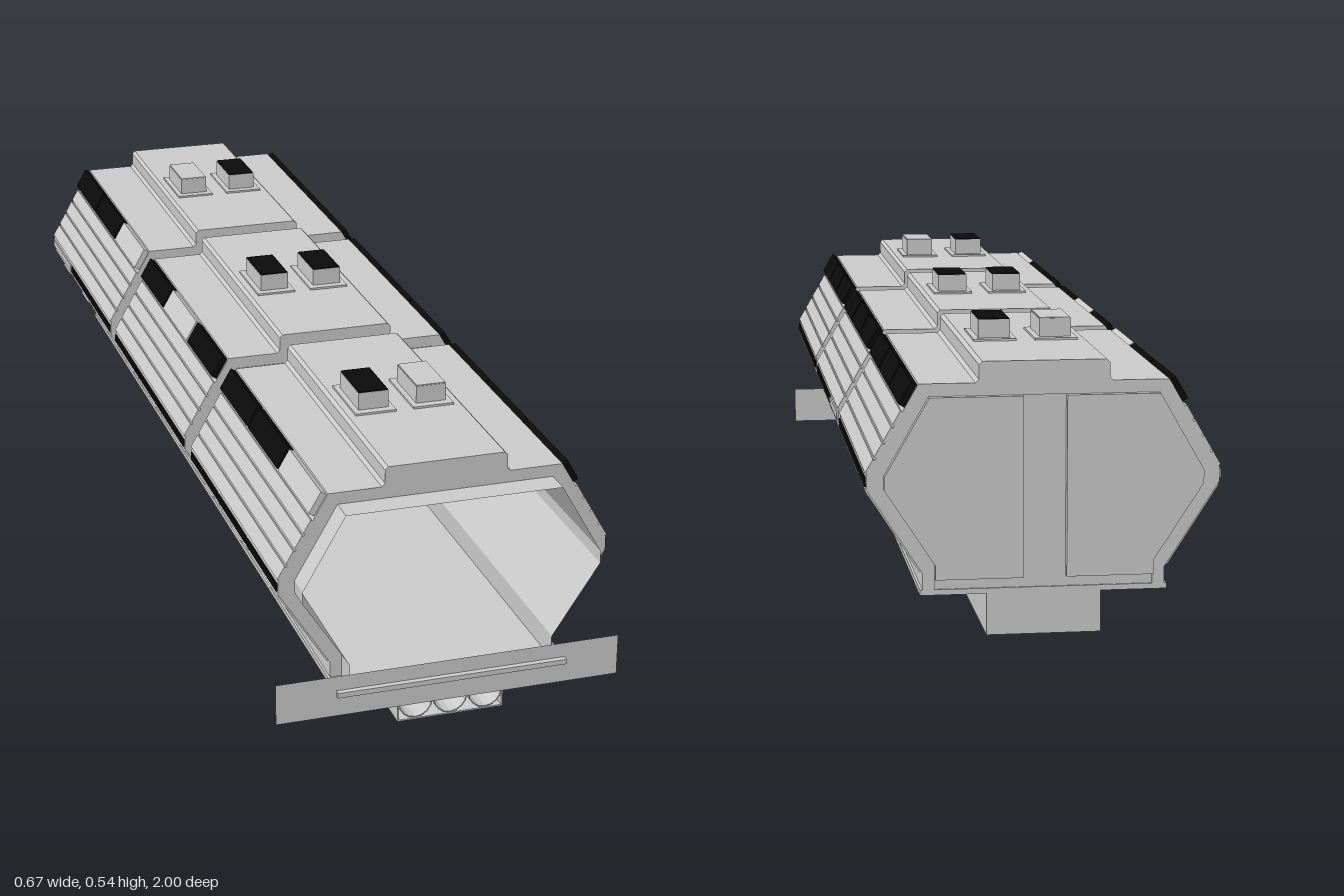
import * as THREE from 'three';

const CX = 0.004;
const grey = new THREE.MeshStandardMaterial({ color: 0xcccccc, flatShading: true });
const greyThin = new THREE.MeshStandardMaterial({ color: 0xcccccc, flatShading: true, side: THREE.DoubleSide });
const black = new THREE.MeshStandardMaterial({ color: 0x0a0a0a });

// Right halves of the cross-sections, from bottom to top
const CORE = [[0.196, 0.08], [0.196, 0.132], [0.286, 0.27], [0.286, 0.294], [0.206, 0.434]];
const LOW = [0.218, 0.116], BELLY = [0.317, 0.27], WAIST = [0.317, 0.295], EAVE = [0.224, 0.457];
const OUTER = [[0.218, 0.08], LOW, BELLY, WAIST, EAVE,
  [0.123, 0.457], [0.117, 0.463], [0.117, 0.489], [0.111, 0.495]];

const mirrored = (half) => [...half, ...half.map(([x, y]) => [-x, y]).reverse()];
const toShape = (pts) => new THREE.Shape(pts.map(([x, y]) => new THREE.Vector2(x, y)));

function add(parent, name, geometry, material, x = 0, y = 0, z = 0) {
  const mesh = new THREE.Mesh(geometry, material);
  mesh.name = name;
  mesh.position.set(x, y, z);
  parent.add(mesh);
  return mesh;
}

function box(parent, name, w, h, d, x, y, z, material = grey) {
  return add(parent, name, new THREE.BoxGeometry(w, h, d), material, x, y, z);
}

function extrude(parent, name, shape, z0, z1, material = grey) {
  const geo = new THREE.ExtrudeGeometry(shape, { depth: z1 - z0, bevelEnabled: false });
  return add(parent, name, geo, material, 0, 0, z0);
}

// Box lying on the wall from a to b, between fractions t0 and t1, raised by h; side is 1 or -1
function onWall(parent, name, a, b, t0, t1, h, length, z, side, material = grey) {
  const dx = b[0] - a[0], dy = b[1] - a[1], len = Math.hypot(dx, dy);
  const t = (t0 + t1) / 2, sunk = 0.004, lift = (h - sunk) / 2;
  const x = a[0] + dx * t + (dy / len) * lift;
  const y = a[1] + dy * t - (dx / len) * lift;
  const mesh = box(parent, name, len * (t1 - t0), h + sunk, length, side * x, y, z, material);
  mesh.rotation.z = side * Math.atan2(dy, dx);
  return mesh;
}

// Open tube wall between two z positions, following a cross-section
function openTube(pts, z0, z1) {
  const pos = [], index = [];
  pts.forEach(([x, y], i) => {
    pos.push(x, y, z0, x, y, z1);
    if (i < pts.length - 1) {
      const k = i * 2;
      index.push(k, k + 2, k + 1, k + 1, k + 2, k + 3);
    }
  });
  const geo = new THREE.BufferGeometry();
  geo.setAttribute('position', new THREE.Float32BufferAttribute(pos, 3));
  geo.setIndex(index);
  const flat = geo.toNonIndexed();
  flat.computeVertexNormals();
  return flat;
}

// One hull section: shell, windows, siding, lower panels and roof vents
function hullSection(z0, z1, ventZ, unlit) {
  const g = new THREE.Group();
  g.name = 'hullSection';
  extrude(g, 'sectionShell', toShape([...mirrored(OUTER), ...mirrored(CORE).reverse()]), z0, z1);

  const bay = (z1 - z0) / 3;
  for (const side of [1, -1]) {
    const key = side > 0 ? 'L' : 'R';
    for (let i = 0; i < 3; i++) {
      const z = z1 - bay * (i + 0.5);
      const lit = (kind) => (unlit.includes(kind + key + i) ? grey : black);
      onWall(g, 'upperWindow', WAIST, EAVE, 0.74, 0.985, 0.012, bay - 0.008, z, side, lit('upper'));
      onWall(g, 'waistWindow', BELLY, WAIST, 0.2, 0.8, 0.003, bay - 0.008, z, side, lit('waist'));
      onWall(g, 'lowerPanel', LOW, BELLY, 0.03, 0.97, 0.003, bay - 0.006, z, side);
      onWall(g, 'panelHandle', LOW, BELLY, 0.85, 0.88, 0.007, 0.06, z, side);
    }
    // Horizontal siding boards below the windows
    for (let i = 0; i < 4; i++) {
      const t = 0.02 + i * 0.175;
      onWall(g, 'sidingBoard', WAIST, EAVE, t, t + 0.15, 0.004, z1 - z0, (z0 + z1) / 2, side);
    }
    // Roof vent on a low mounting plate
    const x = side * 0.057;
    box(g, 'ventBase', 0.08, 0.006, 0.145, x, 0.496, ventZ);
    box(g, 'roofVent', 0.059, 0.038, 0.112, x, 0.514, ventZ);
    const top = unlit.includes('vent' + key) ? grey : black;
    box(g, 'ventTop', 0.057, 0.002, 0.11, x, 0.534, ventZ, top);
  }
  return g;
}

export function createModel() {
  const model = new THREE.Group();
  model.name = 'hullModule';
  const hull = new THREE.Group();
  hull.name = 'hull';
  hull.position.x = CX;
  model.add(hull);

  // Inner tube, seen between sections and through the open front
  add(hull, 'innerTube', openTube(mirrored(CORE), -0.984, 0.987), greyThin);
  add(hull, 'rearBulkhead', new THREE.ShapeGeometry(toShape(mirrored(CORE))), greyThin, 0, 0, -0.984);
  box(hull, 'floor', 0.445, 0.01, 1.987, 0, 0.081, 0.0065);

  // Three hull sections, front to rear
  hull.add(
    hullSection(0.33, 0.937, 0.633, ['ventL', 'upperR0']),
    hullSection(-0.332, 0.275, -0.023, ['upperR1', 'waistL2']),
    hullSection(-0.987, -0.382, -0.683, ['ventR', 'upperR0', 'waistR2']),
  );

  // Rear doors on either side of the centre strip
  for (const s of [1, -1]) {
    const half = [[0.039, 0.106], [0.196, 0.106], ...CORE.slice(1), [0.039, 0.434]];
    extrude(hull, 'rearDoor', toShape(half.map(([x, y]) => [s * x, y])), -1, -0.982);
  }

  // Service duct below the floor, open at the front, with three pipes
  box(hull, 'ductBottom', 0.206, 0.003, 1.972, 0, 0.0015, 0);
  for (const s of [1, -1]) box(hull, 'ductSide', 0.003, 0.077, 1.972, s * 0.1015, 0.0385, 0);
  box(hull, 'ductRearCap', 0.206, 0.077, 0.004, 0, 0.0385, -0.984);
  for (let i = -1; i <= 1; i++) {
    const ring = new THREE.Shape().absarc(0, 0, 0.033, 0, Math.PI * 2);
    ring.holes.push(new THREE.Path().absarc(0, 0, 0.031, 0, Math.PI * 2, true));
    const geo = new THREE.ExtrudeGeometry(ring, { depth: 1.966, bevelEnabled: false, curveSegments: 8 });
    add(hull, 'ductPipe', geo, grey, i * 0.068, 0.036, -0.981);
  }

  // Thin cross plate at the front sill
  add(model, 'frontPlate', new THREE.PlaneGeometry(0.666, 0.081), greyThin, 0, 0.0745, 0.989);
  return model;
}
